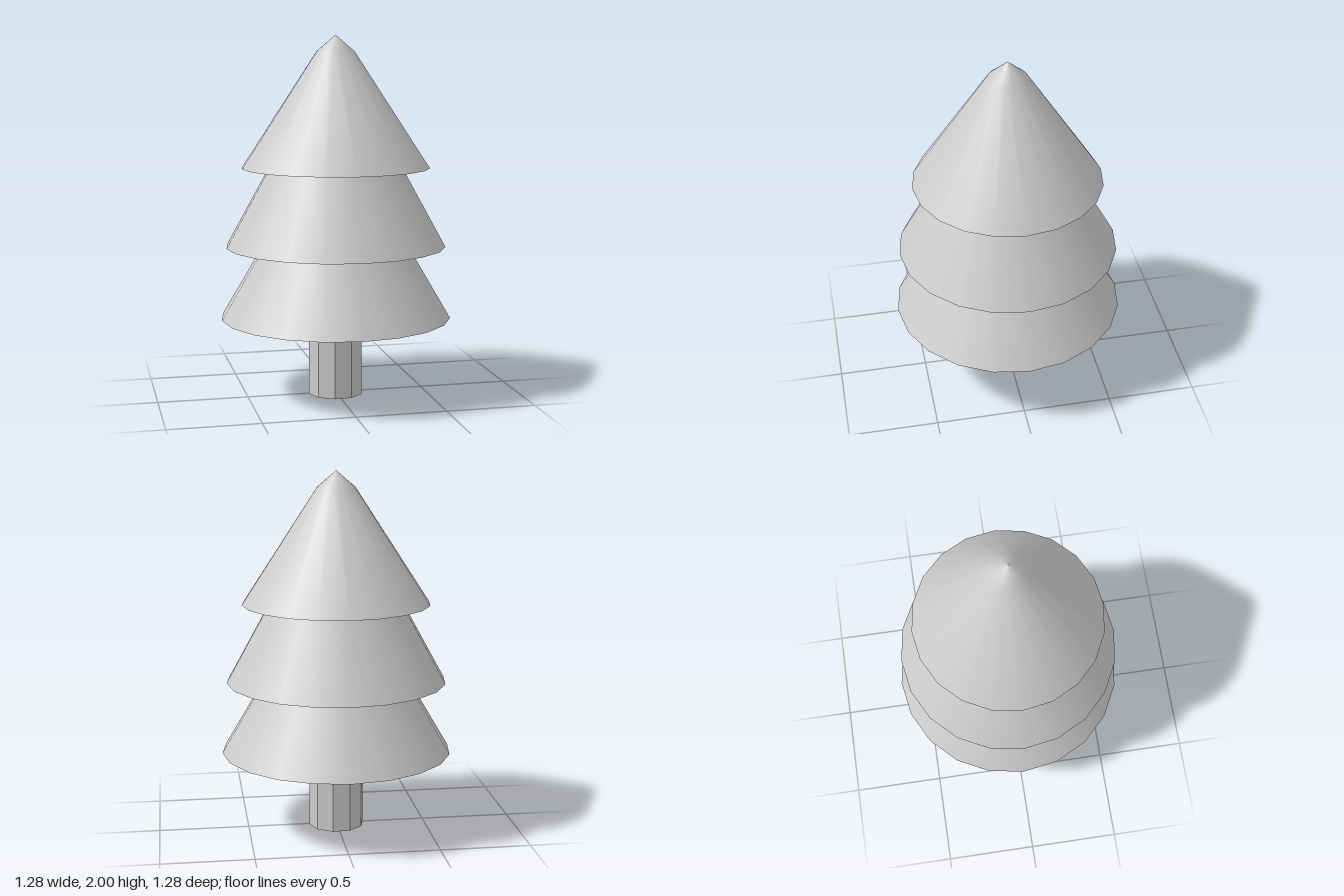
import * as THREE from 'three';
import { mergeGeometries } from 'three/addons/utils/BufferGeometryUtils.js';

const SIDES = 20;

// Smooth-sided skirt of branches with a flat underside; profile runs bottom to top
function branchTier(name, profile, material) {
  const skirt = new THREE.LatheGeometry(profile.map(([r, y]) => new THREE.Vector2(r, y)), SIDES);
  const [radius, bottom] = profile[0];
  const underside = new THREE.CircleGeometry(radius, SIDES);
  underside.rotateX(Math.PI / 2).translate(0, bottom, 0);
  const mesh = new THREE.Mesh(mergeGeometries([skirt, underside]), material);
  mesh.name = name;
  return mesh;
}

export function createModel() {
  const tree = new THREE.Group();
  tree.name = 'coniferTree';
  const foliage = new THREE.MeshStandardMaterial({ color: 0xcccccc });
  const bark = new THREE.MeshStandardMaterial({ color: 0xcccccc, flatShading: true });

  // Faceted trunk, reaching slightly into the lowest tier
  const trunk = new THREE.Mesh(new THREE.CylinderGeometry(0.155, 0.155, 0.5, 10), bark);
  trunk.name = 'trunk';
  trunk.position.y = 0.25;
  trunk.rotation.y = THREE.MathUtils.degToRad(-14);
  tree.add(trunk);

  // Three overlapping tiers; the lower two end inside the tier above
  tree.add(
    branchTier('lowerBranches', [[0.64, 0.44], [0.405, 0.84], [0.346, 0.94]], foliage),
    branchTier('middleBranches', [[0.61, 0.84], [0.37, 1.275], [0.315, 1.375]], foliage),
    branchTier('upperBranches', [[0.52, 1.275], [0.105, 1.91], [0, 2]], foliage),
  );
  return tree;
}
